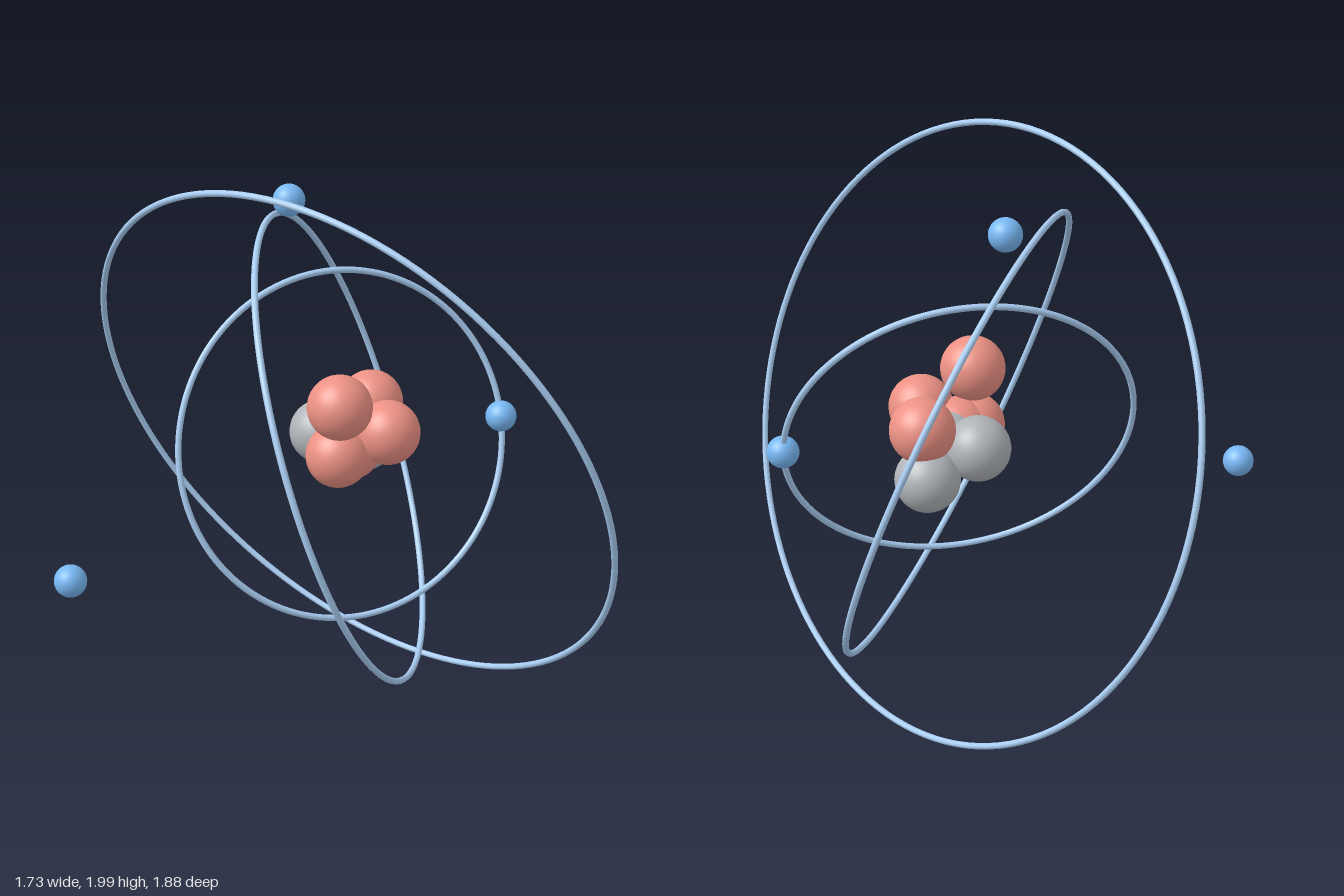
import * as THREE from 'three';

const CENTER = [0.207, 1, 0];
const material = color => new THREE.MeshStandardMaterial({ color });

export function createModel() {
  const model = new THREE.Group();
  const red = material(0xec9184), grey = material(0xb0b4b8);
  const blue = material(0x78b8f4), ringBlue = material(0xa9cdf2);

  const add = (name, geometry, mat, position, parent = model) => {
    const mesh = new THREE.Mesh(geometry, mat);
    mesh.name = name;
    mesh.position.set(...position);
    parent.add(mesh);
    return mesh;
  };

  // Nucleus: a tight cluster of overlapping balls
  const nucleus = new THREE.Group();
  nucleus.name = 'nucleus';
  model.add(nucleus);
  const ball = new THREE.SphereGeometry(0.111, 32, 24);
  const protons = [
    [0.145, 1.197, 0.093], [0.325, 1.07, 0.093], [0.355, 1.09, -0.113],
    [0.155, 1.0, 0.06], [0.21, 1.005, 0.03],
  ];
  const neutrons = [[0.348, 0.925, -0.153], [0.17, 1.005, -0.12], [0.255, 0.99, -0.03]];
  protons.forEach(p => add('proton', ball, red, p, nucleus));
  neutrons.forEach(p => add('neutron', ball, grey, p, nucleus));

  // Orbits: growing rings, tilted back 20 degrees and turned in 60 degree steps
  [0.6, 0.825, 1.05].forEach((radius, i) => {
    const orbit = add('orbitRing', new THREE.TorusGeometry(radius, 0.011, 10, 128), ringBlue, CENTER);
    orbit.rotation.set(-Math.PI / 9, i * Math.PI / 3, 0, 'YXZ');
  });

  // Electrons
  const electron = new THREE.SphereGeometry(0.055, 24, 16);
  [[0.808, 1, 0], [0.1, 1.821, -0.246], [-0.811, 0.733, 0.081]]
    .forEach(p => add('electron', electron, blue, p));

  return model;
}
